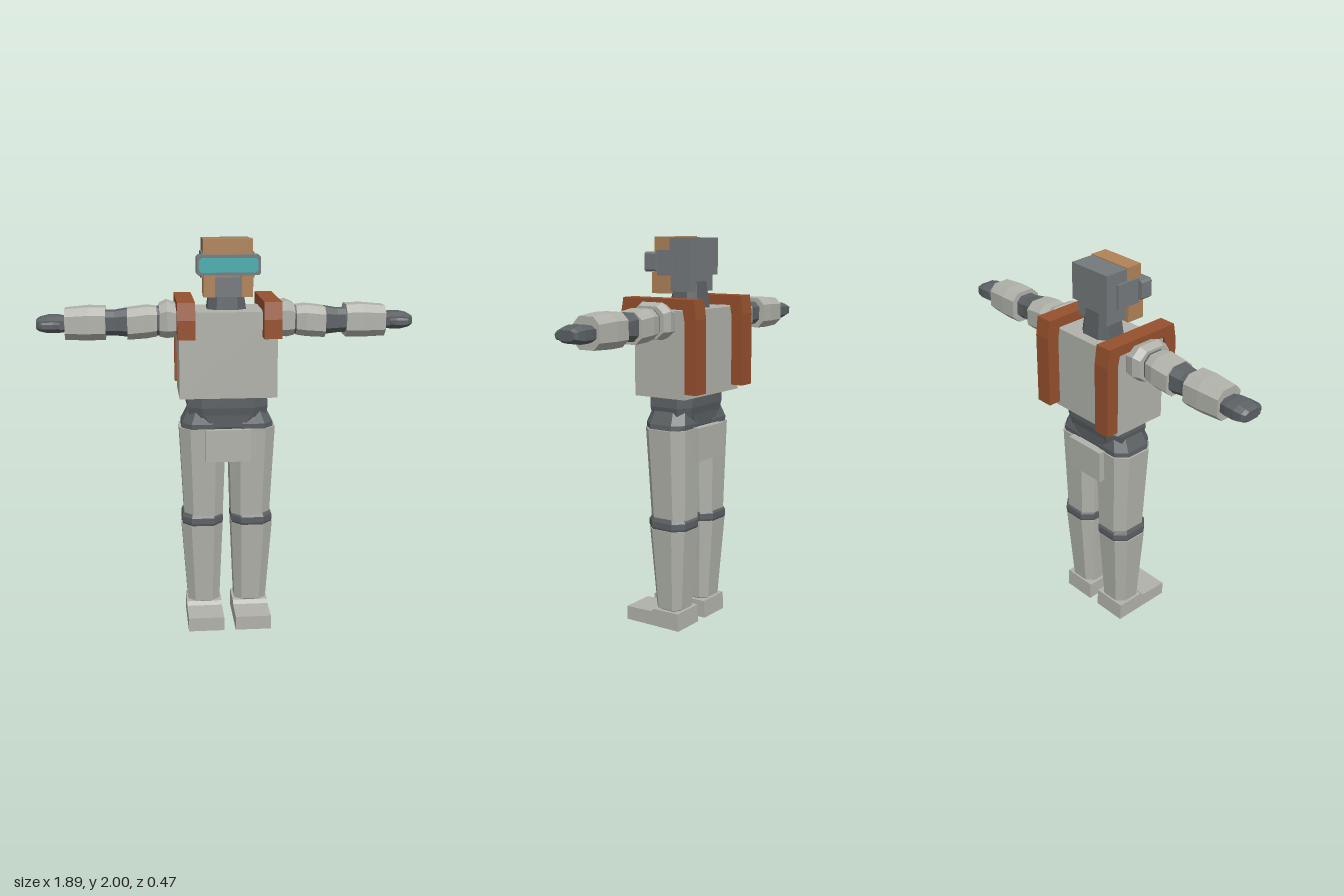
import * as THREE from 'three';

const material = (name, color) => {
  const m = new THREE.MeshStandardMaterial({ color });
  m.name = name;
  return m;
};

// Eight-sided prism through sections [y, centreX, centreZ, halfX, halfZ]; k is the flat share of each side.
function loft(sections, k = 0.55) {
  const ring = [[1, -k], [1, k], [k, 1], [-k, 1], [-1, k], [-1, -k], [-k, -1], [k, -1]];
  const rows = sections.map(([y, cx, cz, hx, hz]) => ring.map(([u, v]) => [cx + u * hx, y, cz - v * hz]));
  const out = [];
  const tri = (a, b, c) => out.push(...a, ...b, ...c);
  for (let r = 0; r < rows.length - 1; r++) {
    for (let i = 0; i < 8; i++) {
      const j = (i + 1) % 8;
      tri(rows[r][i], rows[r][j], rows[r + 1][j]);
      tri(rows[r][i], rows[r + 1][j], rows[r + 1][i]);
    }
  }
  const top = rows[rows.length - 1];
  for (let i = 1; i < 7; i++) {
    tri(top[0], top[i], top[i + 1]);
    tri(rows[0][0], rows[0][i + 1], rows[0][i]);
  }
  const g = new THREE.BufferGeometry();
  g.setAttribute('position', new THREE.Float32BufferAttribute(out, 3));
  g.computeVertexNormals();
  return g;
}

// Box given by its extents
function box(x0, x1, y0, y1, z0, z1) {
  return new THREE.BoxGeometry(x1 - x0, y1 - y0, z1 - z0)
    .translate((x0 + x1) / 2, (y0 + y1) / 2, (z0 + z1) / 2);
}

// Side profile of [z, y] points, extruded across x from x0 to x1
function sideProfile(points, x0, x1) {
  const shape = new THREE.Shape(points.map(([z, y]) => new THREE.Vector2(-z, y)));
  return new THREE.ExtrudeGeometry(shape, { depth: x1 - x0, bevelEnabled: false })
    .rotateY(Math.PI / 2).translate(x0, 0, 0);
}

export function createModel() {
  const armor = material('pale armor', 0xb0b2aa);
  const dark = material('dark undersuit', 0x5c6164);
  const helmet = material('helmet grey', 0x74797b);
  const tan = material('tan plate', 0xae8358);
  const rust = material('rust strap', 0x96502d);
  const teal = material('teal visor', 0x46adae);

  const model = new THREE.Group();
  const add = (name, geometry, mat, parent = model) => {
    const mesh = new THREE.Mesh(geometry, mat);
    mesh.name = name;
    parent.add(mesh);
    return mesh;
  };
  const group = (name) => {
    const g = new THREE.Group();
    g.name = name;
    model.add(g);
    return g;
  };

  // Head
  const head = group('head');
  add('helmetBack', box(-0.12, 0.12, 1.81, 1.995, -0.108, 0.02), helmet, head);
  add('brow', box(-0.122, 0.122, 1.82, 2, 0.02, 0.11), tan, head);
  add('jaw', box(-0.1, 0.1, 1.73, 1.82, -0.09, 0.04), helmet, head);
  for (const s of [-1, 1]) {
    add('cheek', box(s * 0.093 - 0.029, s * 0.093 + 0.029, 1.72, 1.825, 0.03, 0.128), tan, head);
    add('visorArm', box(s * 0.12 - 0.012, s * 0.12 + 0.012, 1.81, 1.935, -0.045, 0.09), helmet, head);
  }
  add('mouthGuard', box(-0.066, 0.066, 1.722, 1.815, 0.02, 0.134), helmet, head);
  const plate = (w, h, c, depth, z) => {
    const p = [[w, h - c], [w - c, h], [c - w, h], [-w, h - c], [-w, c - h], [c - w, -h], [w - c, -h], [w, c - h]];
    return new THREE.ExtrudeGeometry(new THREE.Shape(p.map((q) => new THREE.Vector2(...q))),
      { depth, bevelEnabled: false }).translate(0, 1.877, z);
  };
  add('visorFrame', plate(0.157, 0.049, 0.01, 0.065, 0.083), helmet, head);
  add('visorGlass', plate(0.144, 0.035, 0.012, 0.006, 0.145), teal, head);
  add('neck', loft([[1.63, 0, -0.02, 0.1, 0.085], [1.78, 0, -0.02, 0.08, 0.07]]), dark, head);

  // Torso, waist and hip plates
  add('torso', box(-0.245, 0.245, 1.215, 1.648, -0.155, 0.145), armor);
  add('waist', loft([[1.11, 0, 0, 0.195, 0.115], [1.16, 0, 0, 0.205, 0.125], [1.23, 0, 0, 0.2, 0.125]], 0.65), dark);
  add('pelvis', loft([[1.0, 0, 0, 0.07, 0.09], [1.06, 0, 0, 0.13, 0.115], [1.12, 0, 0, 0.2, 0.118]], 0.6), dark);
  add('frontHipPlate', box(-0.115, 0.115, 0.885, 1.05, 0.105, 0.145), armor);
  add('backHipPlate', box(-0.115, 0.115, 0.885, 1.055, -0.152, -0.11), armor);

  // Shoulder straps
  const strap = [
    [0.222, 1.525], [0.222, 1.62], [0.206, 1.705], [-0.217, 1.705], [-0.23, 1.61], [-0.23, 1.245],
    [-0.163, 1.245], [-0.163, 1.6], [-0.152, 1.655], [0.14, 1.655], [0.15, 1.62], [0.15, 1.525],
  ];
  for (const s of [-1, 1]) {
    add('strap', sideProfile(strap, s * 0.212 - 0.044, s * 0.212 + 0.044), rust);
  }

  // Arms: sections run outward as [x, centreY, centreZ, halfY, halfZ]
  const armParts = [
    ['shoulder', armor, [[0.2, 1.595, -0.005, 0.07, 0.08], [0.255, 1.595, -0.005, 0.08, 0.1],
      [0.3, 1.6, -0.005, 0.09, 0.11], [0.338, 1.595, -0.005, 0.078, 0.095]]],
    ['armCore', dark, [[0.32, 1.59, -0.005, 0.07, 0.07], [0.5, 1.585, -0.005, 0.068, 0.068],
      [0.56, 1.583, -0.005, 0.06, 0.06], [0.62, 1.583, -0.008, 0.06, 0.06]]],
    ['upperArm', armor, [[0.35, 1.588, -0.005, 0.072, 0.075], [0.4, 1.587, -0.005, 0.079, 0.086],
      [0.497, 1.578, -0.005, 0.076, 0.084]]],
    ['forearm', armor, [[0.605, 1.583, -0.012, 0.081, 0.084], [0.69, 1.583, -0.012, 0.083, 0.085],
      [0.806, 1.58, -0.012, 0.076, 0.075]]],
    ['hand', dark, [[0.79, 1.578, -0.012, 0.035, 0.055], [0.84, 1.58, -0.012, 0.042, 0.066],
      [0.89, 1.58, -0.012, 0.042, 0.068], [0.93, 1.58, -0.012, 0.033, 0.062], [0.946, 1.58, -0.012, 0.024, 0.05]]],
    ['thumb', dark, [[0.83, 1.575, 0.045, 0.018, 0.016], [0.86, 1.575, 0.055, 0.022, 0.02],
      [0.915, 1.575, 0.056, 0.02, 0.018], [0.93, 1.575, 0.052, 0.012, 0.012]]],
  ];
  for (const s of [-1, 1]) {
    const arm = group(s > 0 ? 'leftArm' : 'rightArm');
    for (const [name, mat, rows] of armParts) {
      const g = loft(rows.map(([x, y, z, hy, hz]) => [x, -s * y, z, hy, hz]));
      add(name, g.rotateZ(-s * Math.PI / 2), mat, arm);
    }
  }

  // Legs: sections run upward as [y, centreX, centreZ, halfX, halfZ]
  const legParts = [
    ['ankle', dark, [[0.07, 0.123, -0.008, 0.07, 0.065], [0.12, 0.123, -0.008, 0.07, 0.065]]],
    ['shin', armor, [[0.1, 0.123, -0.008, 0.083, 0.078], [0.53, 0.13, -0.008, 0.107, 0.108]]],
    ['knee', dark, [[0.52, 0.128, -0.008, 0.1, 0.105], [0.54, 0.128, -0.008, 0.106, 0.112],
      [0.57, 0.128, -0.008, 0.106, 0.112], [0.59, 0.128, -0.008, 0.098, 0.1]]],
    ['thigh', armor, [[0.58, 0.122, -0.008, 0.1, 0.105], [1.05, 0.126, -0.002, 0.119, 0.122]]],
    ['hip', dark, [[1.03, 0.126, 0, 0.11, 0.115], [1.075, 0.13, 0, 0.102, 0.118], [1.14, 0.115, 0, 0.085, 0.1]]],
  ];
  const sole = [[0.235, 0], [0.235, 0.072], [0.08, 0.075], [0.06, 0.092], [-0.09, 0.092], [-0.095, 0]];
  for (const s of [-1, 1]) {
    const leg = group(s > 0 ? 'leftLeg' : 'rightLeg');
    for (const [name, mat, rows] of legParts) {
      add(name, loft(rows.map(([y, x, z, hx, hz]) => [y, s * x, z, hx, hz])), mat, leg);
    }
    add('foot', sideProfile(sole, s * 0.122 - 0.092, s * 0.122 + 0.092), armor, leg);
  }
  return model;
}
